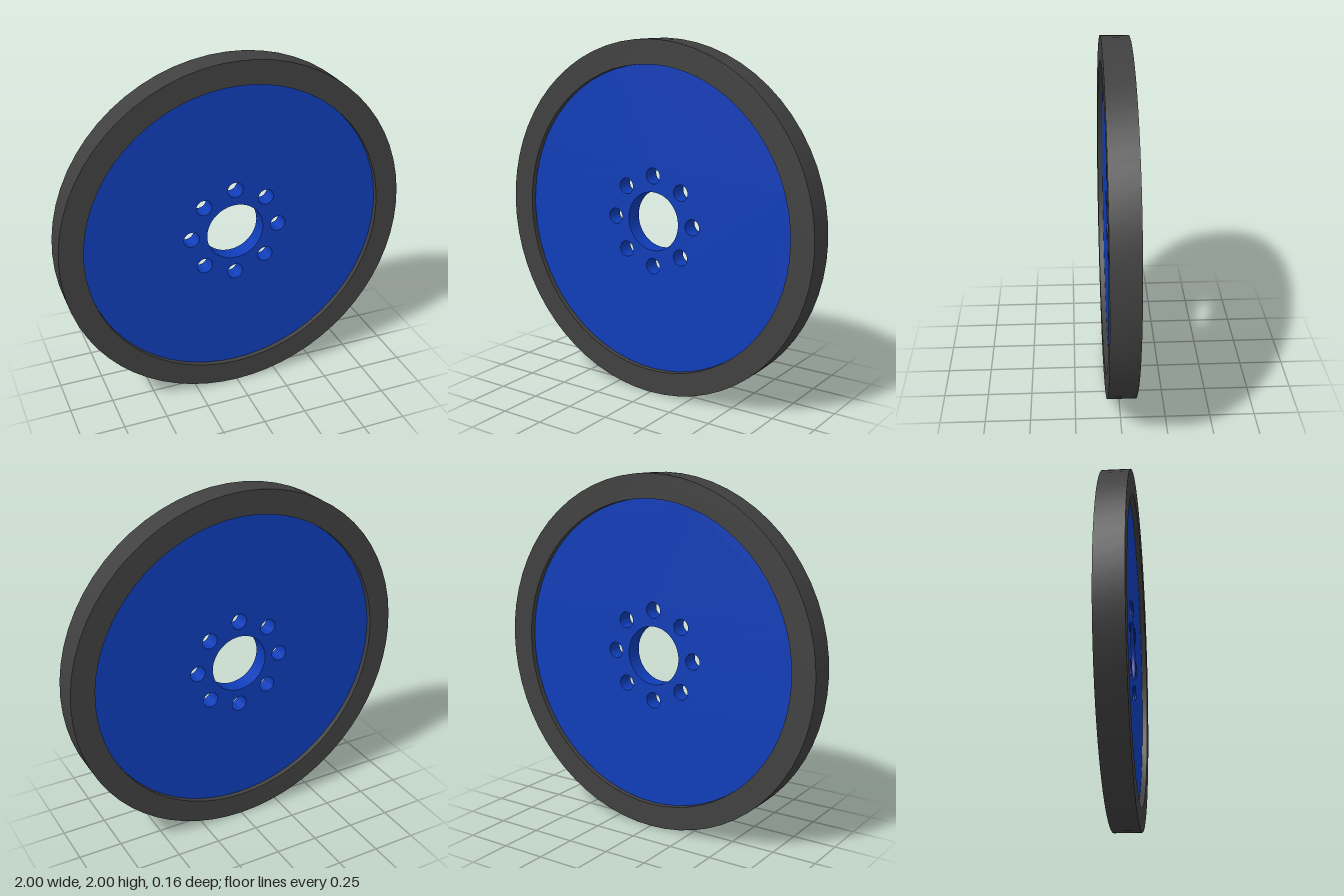
import * as THREE from 'three';
import { toCreasedNormals } from 'three/addons/utils/BufferGeometryUtils.js';

const TIRE_R = 1, DISC_R = 0.866, TIRE_W = 0.155, DISC_W = 0.095;
const BORE_R = 0.166, BOLT_R = 0.045, BOLT_CIRCLE = 0.257, BOLTS = 8;

// Round plate with round holes [x, y, r], centred on z = 0
function plate(name, radius, holes, depth, color) {
  const shape = new THREE.Shape().absarc(0, 0, radius, 0, Math.PI * 2);
  for (const [x, y, r] of holes) {
    shape.holes.push(new THREE.Path().absarc(x, y, r, 0, Math.PI * 2, true));
  }
  const extruded = new THREE.ExtrudeGeometry(shape, { depth, bevelEnabled: false, curveSegments: 32 });
  extruded.translate(0, 0, -depth / 2);
  const mesh = new THREE.Mesh(
    toCreasedNormals(extruded, 0.5),
    new THREE.MeshStandardMaterial({ color })
  );
  mesh.name = name;
  return mesh;
}

export function createModel() {
  const wheel = new THREE.Group();
  wheel.name = 'wheel';

  // Tread ring, wider than the disc so both faces are recessed
  wheel.add(plate('tire', TIRE_R, [[0, 0, DISC_R]], TIRE_W, 0x404040));

  // Disc with a centre bore and a ring of bolt holes
  const holes = [[0, 0, BORE_R]];
  for (let i = 0; i < BOLTS; i++) {
    const a = (i / BOLTS) * Math.PI * 2;
    holes.push([Math.cos(a) * BOLT_CIRCLE, Math.sin(a) * BOLT_CIRCLE, BOLT_R]);
  }
  wheel.add(plate('disc', DISC_R, holes, DISC_W, 0x0f3db8));

  // Stand the wheel on the ground
  wheel.children.forEach((part) => { part.position.y = TIRE_R; });
  return wheel;
}
